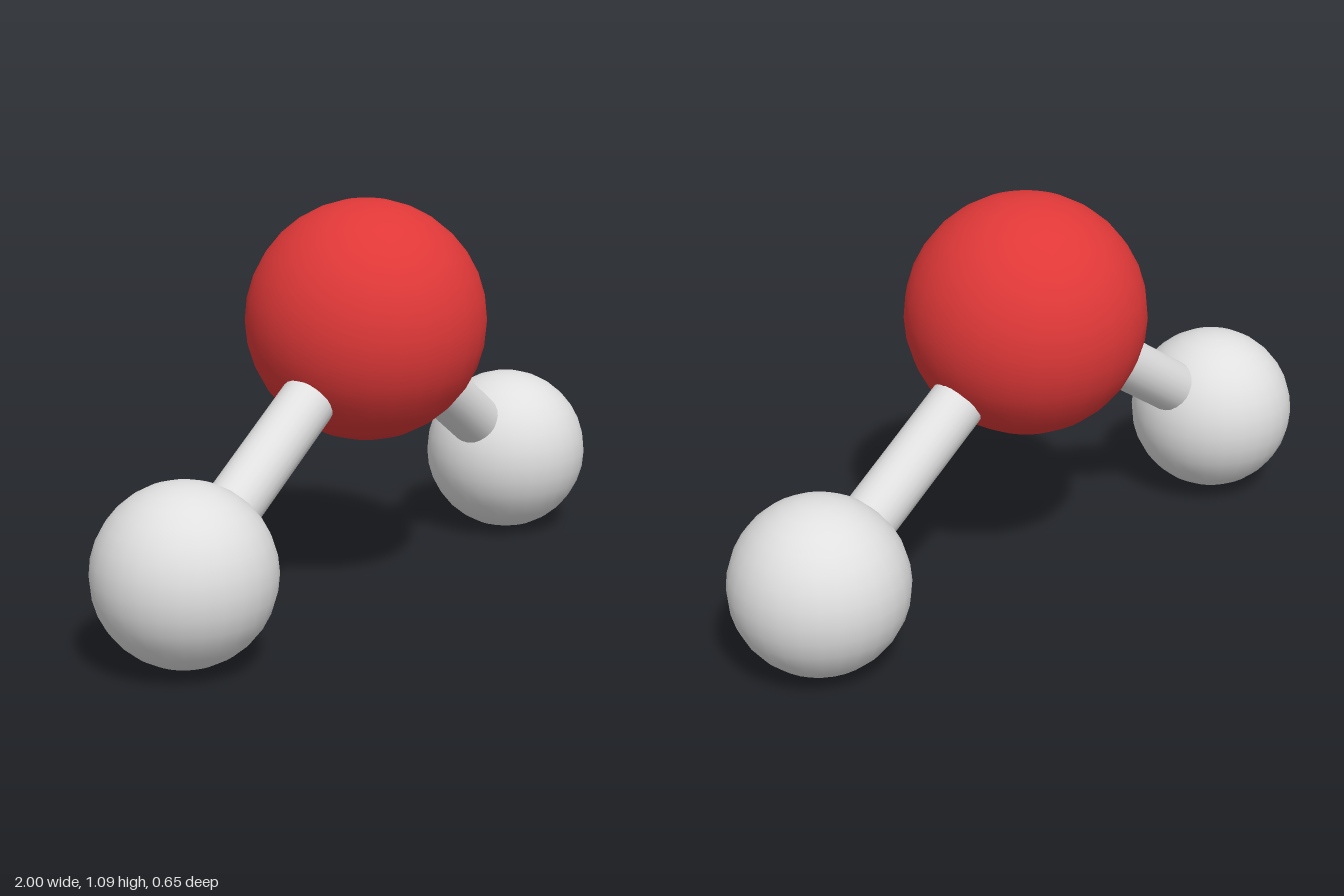
import * as THREE from 'three';

export function createModel() {
  const model = new THREE.Group();
  model.name = 'ballAndStickMolecule';

  const red = new THREE.MeshStandardMaterial({ color: 0xe03838 });
  red.name = 'red';
  const lightGrey = new THREE.MeshStandardMaterial({ color: 0xe0e0e0 });
  lightGrey.name = 'light grey';

  // Smooth ball for an atom
  function ball(name, center, radius, material) {
    const mesh = new THREE.Mesh(new THREE.SphereGeometry(radius, 28, 16), material);
    mesh.name = name;
    mesh.position.copy(center);
    model.add(mesh);
  }

  // Rod joining two ball centres
  function rod(name, from, to, radius) {
    const axis = to.clone().sub(from);
    const mesh = new THREE.Mesh(
      new THREE.CylinderGeometry(radius, radius, axis.length(), 24), lightGrey);
    mesh.name = name;
    mesh.position.copy(from).add(to).multiplyScalar(0.5);
    mesh.quaternion.setFromUnitVectors(new THREE.Vector3(0, 1, 0), axis.normalize());
    model.add(mesh);
  }

  // Large central atom
  const center = new THREE.Vector3(0.005, 0.763, 0);
  ball('centralAtom', center, 0.326, red);

  // Two small atoms, each held by a rod
  const ends = [
    ['right', new THREE.Vector3(-0.764, 0.248, 0)],
    ['left', new THREE.Vector3(0.76, 0.239, -0.025)],
  ];
  for (const [side, position] of ends) {
    ball(side + 'Atom', position, 0.236, lightGrey);
    rod(side + 'Bond', center, position, 0.075);
  }

  return model;
}
